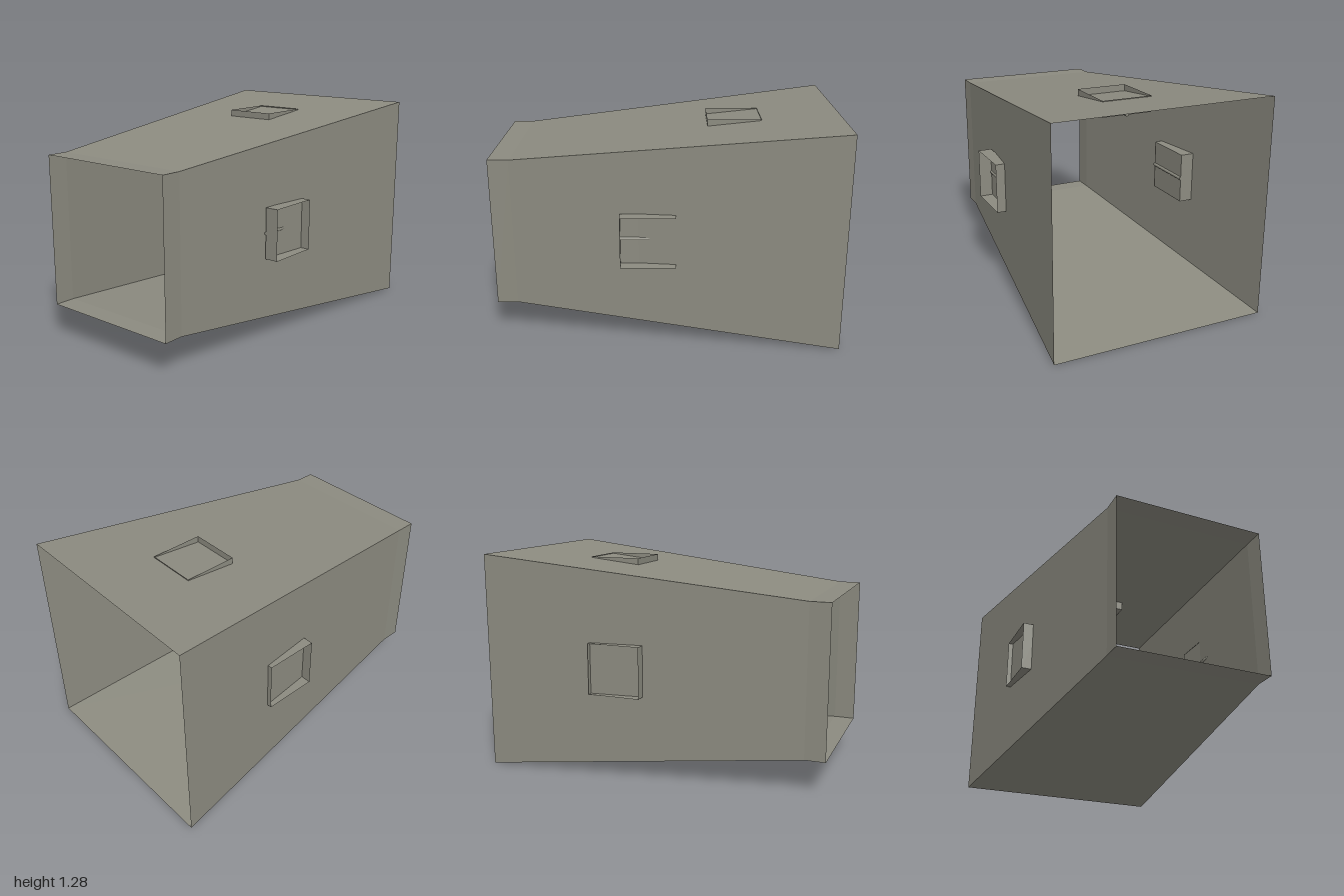
import * as THREE from 'three';

const MID_Y = 0.64;

// Open square sleeve along x, from a few [x, halfHeight, halfDepth] sections
function sleeve(sections) {
  const pos = [];
  const corner = ([x, h, d], k) => [x, h * [1, 1, -1, -1][k % 4], d * [1, -1, -1, 1][k % 4]];
  for (let i = 0; i < sections.length - 1; i++) {
    for (let k = 0; k < 4; k++) {
      const a = corner(sections[i], k), b = corner(sections[i + 1], k);
      const c = corner(sections[i + 1], k + 1), d = corner(sections[i], k + 1);
      pos.push(...a, ...b, ...c, ...a, ...c, ...d);
    }
  }
  const g = new THREE.BufferGeometry();
  g.setAttribute('position', new THREE.Float32BufferAttribute(pos, 3));
  g.computeVertexNormals();
  return g;
}

export function createModel() {
  const model = new THREE.Group();
  const metal = new THREE.MeshStandardMaterial({ color: 0x8c8b80 });
  metal.name = 'sheetMetal';
  metal.side = THREE.DoubleSide;

  const add = (parent, name, geometry) => {
    const mesh = new THREE.Mesh(geometry, metal);
    mesh.name = name;
    parent.add(mesh);
    return mesh;
  };

  // Tapered duct with a short straight neck, open at both ends
  const duct = add(model, 'taperedDuct', sleeve([
    [-1, 0.44, 0.44], [-0.88, 0.44, 0.44], [1, 0.64, 0.64],
  ]));
  duct.position.y = MID_Y;

  // Branch collar built facing +z, then turned around the duct axis
  function collar(name, x, inner, outer, turn) {
    const group = new THREE.Group();
    group.name = name;
    const w = 0.315, h = 0.3;
    const walls = add(group, name + 'Walls', sleeve([
      [inner, h / 2, w / 2], [outer, h / 2, w / 2],
    ]));
    walls.rotation.y = -Math.PI / 2;

    // Damper plate closing the inner end, with its spindle
    const plate = add(group, name + 'DamperPlate', new THREE.PlaneGeometry(w, h));
    plate.position.z = inner + 0.002;
    const spindle = add(group, name + 'Spindle', new THREE.CylinderGeometry(0.01, 0.01, w, 8));
    spindle.rotation.z = Math.PI / 2;
    spindle.position.z = inner;

    group.position.set(x, MID_Y, 0);
    group.rotation.x = turn;
    model.add(group);
  }

  collar('frontCollar', -0.103, 0.515, 0.595, 0);
  collar('backCollar', 0.2, 0.49, 0.6, Math.PI);
  collar('topCollar', 0.398, 0.505, 0.598, -Math.PI / 2);

  return model;
}
